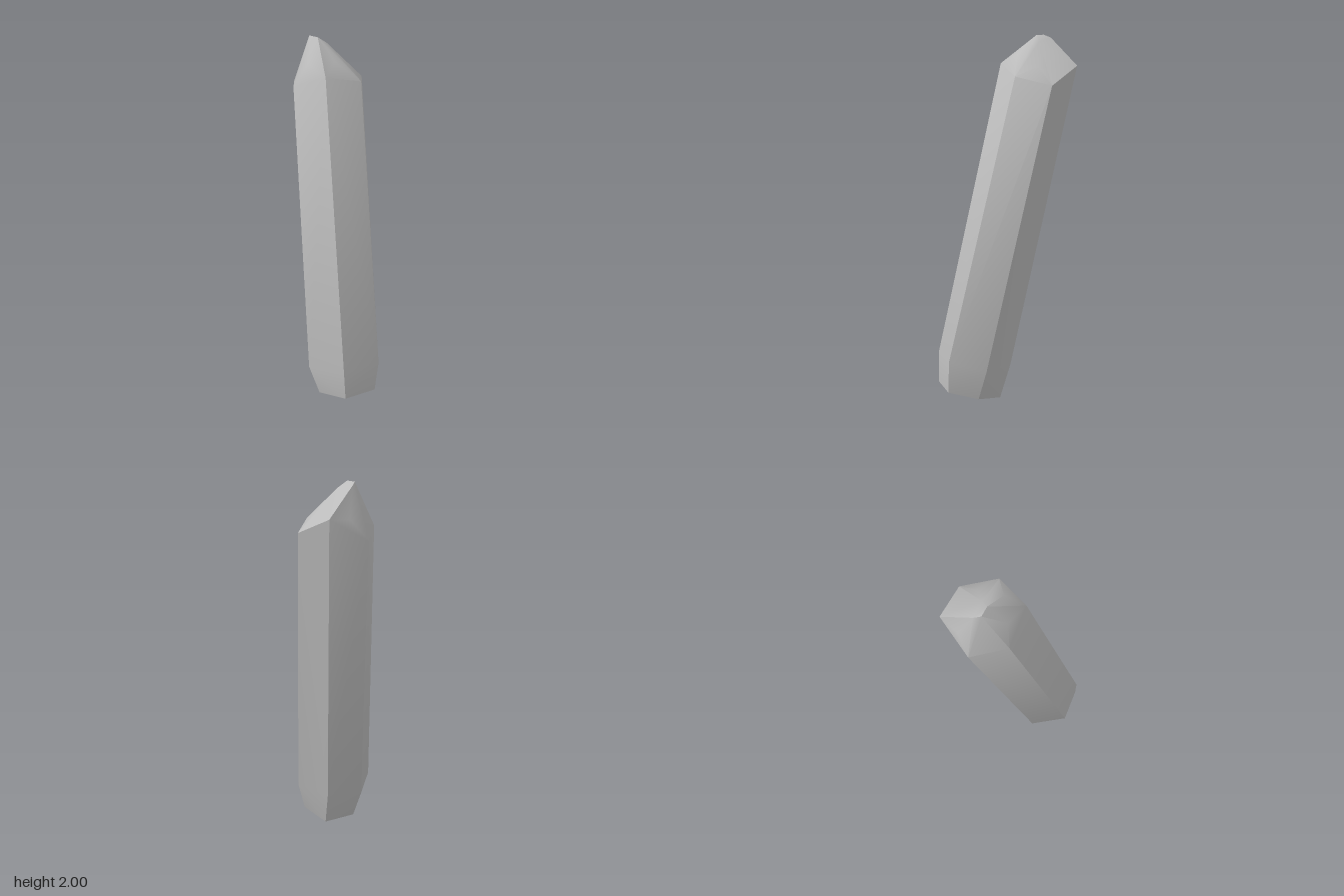
import * as THREE from 'three';
import { ConvexGeometry } from 'three/addons/geometries/ConvexGeometry.js';
import { toCreasedNormals } from 'three/addons/utils/BufferGeometryUtils.js';

// Six-sided cross-sections of the leaning crystal, each corner as [x, y, z]
const rings = [
  // cut base
  [[-0.265, 0.05, 0.12], [-0.23, 0.075, 0.29], [-0.05, 0.07, 0.347], [0.057, 0.035, 0.22], [0.027, 0, 0.05], [-0.14, 0.015, 0.008]],
  // lower shoulder
  [[-0.295, 0.22, 0.07], [-0.235, 0.25, 0.282], [-0.03, 0.25, 0.355], [0.11, 0.2, 0.205], [0.05, 0.19, -0.005], [-0.145, 0.18, -0.062]],
  // upper shoulder
  [[-0.098, 1.76, -0.215], [-0.058, 1.85, -0.02], [0.145, 1.79, 0.04], [0.292, 1.745, -0.09], [0.246, 1.84, -0.3], [0.045, 1.72, -0.355]],
  // pointed cap
  [[-0.05, 1.89, -0.155], [0.046, 1.9, -0.055], [0.185, 1.84, -0.085], [0.225, 1.835, -0.215], [0.13, 1.83, -0.315]],
  // small ridge at the tip
  [[0.043, 2, -0.235], [0.05, 2, -0.18], [0.095, 1.965, -0.16], [0.075, 1.985, -0.258], [0.12, 1.945, -0.24]],
];

export function createModel() {
  const group = new THREE.Group();
  group.name = 'crystal';

  const grey = new THREE.MeshStandardMaterial({ color: 0xbcbcbc });
  grey.name = 'stone grey';

  // Convex skin over the rings; shaft edges stay sharp, the cap is softened
  const points = rings.flat().map((p) => new THREE.Vector3(...p));
  const geometry = toCreasedNormals(new ConvexGeometry(points), 0.72);

  const shard = new THREE.Mesh(geometry, grey);
  shard.name = 'crystalShard';
  group.add(shard);
  return group;
}
